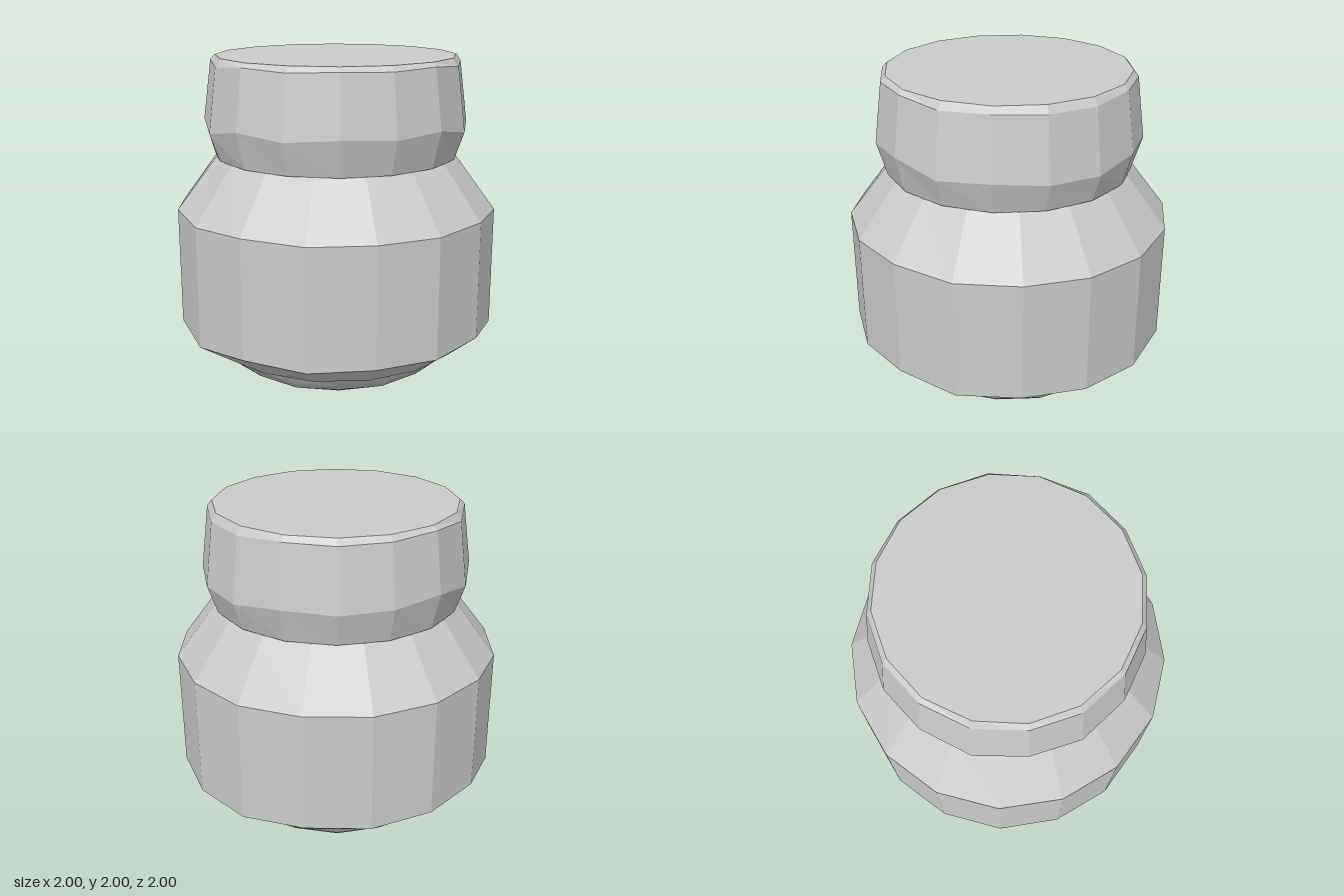
import * as THREE from 'three';

const SIDES = 16;
const material = new THREE.MeshStandardMaterial({ color: 0xcccccc, flatShading: true, side: THREE.DoubleSide });

// Faceted turned part: rings of [radius, y, height wobble], bottom to top.
// turn = 0.5 puts flat sides on the axes, turn = 0 puts corners there.
function turned(name, rings, turn) {
  const points = rings.map(([r, y]) => new THREE.Vector2(r, y));
  const geometry = new THREE.LatheGeometry(points, SIDES, (turn * Math.PI * 2) / SIDES);
  const pos = geometry.attributes.position;
  for (let i = 0; i < pos.count; i++) {
    const wobble = rings[i % rings.length][2] || 0;
    const side = Math.floor(i / rings.length) % SIDES;
    pos.setY(i, pos.getY(i) + wobble * Math.sin(side * side * 1.7 + 1));
  }
  geometry.computeVertexNormals();
  const mesh = new THREE.Mesh(geometry, material);
  mesh.name = name;
  return mesh;
}

export function createModel() {
  const jar = new THREE.Group();
  jar.name = 'jar';

  // Rounded foot with a flat underside
  jar.add(turned('foot', [
    [0, 0], [0.62, 0], [0.69, 0.03, 0.012], [0.75, 0.08, 0.015], [0.805, 0.16], [0, 0.16],
  ], 0));

  // Wide body with bevelled bottom and sloping shoulder
  jar.add(turned('body', [
    [0, 0.16], [0.835, 0.16], [1.019, 0.29, 0.025], [1.019, 1.045, 0.01], [0.765, 1.38], [0, 1.38],
  ], 0.5));

  // Bulging lid with a narrow bevel round its flat top
  jar.add(turned('lid', [
    [0, 1.38], [0.775, 1.38], [0.835, 1.575, 0.035], [0.785, 1.96, 0.015], [0.755, 2], [0, 2],
  ], 0));

  return jar;
}
